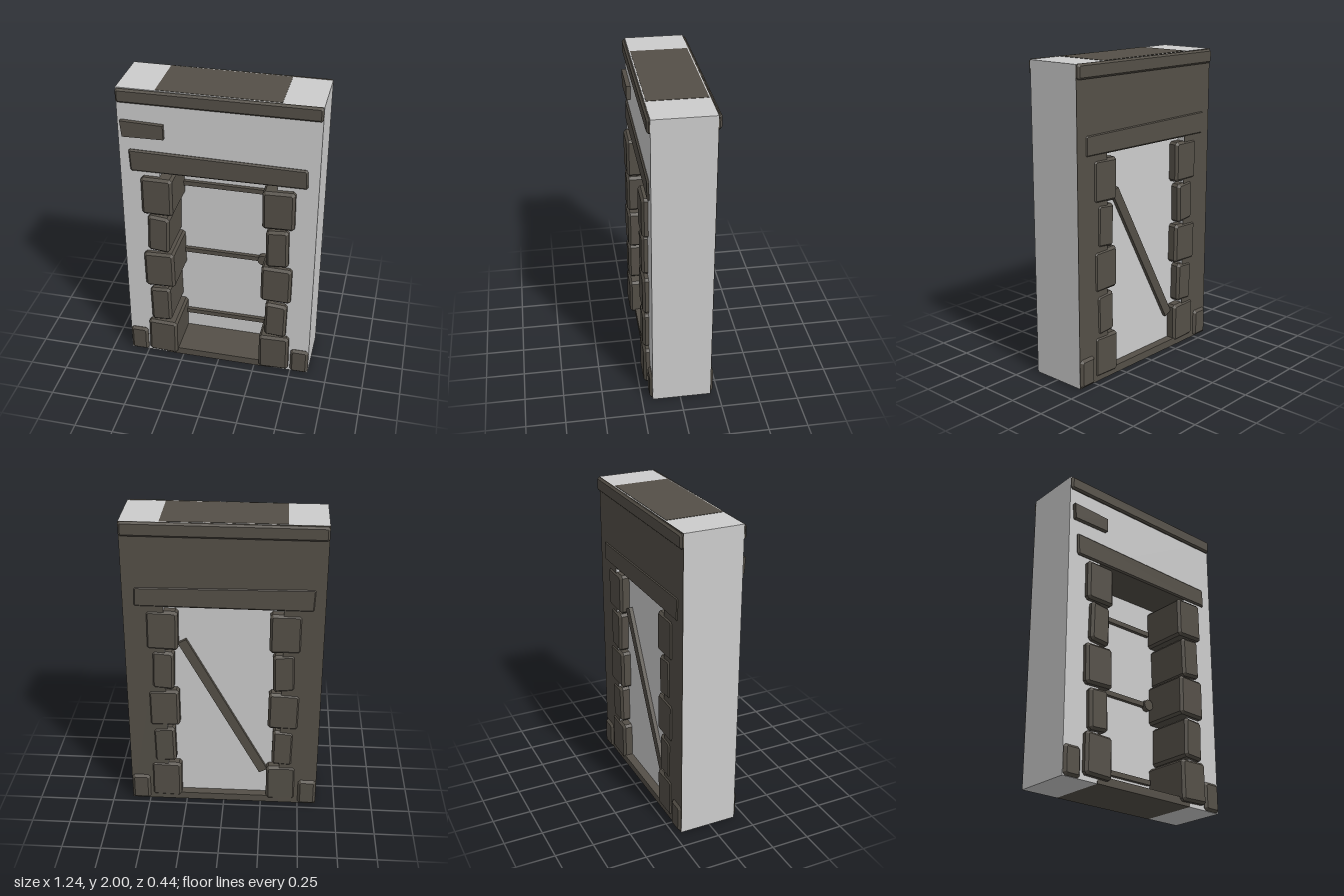
import * as THREE from 'three';

const plaster = new THREE.MeshStandardMaterial({ color: 0xcccccc });
plaster.name = 'pale plaster';
const stone = new THREE.MeshStandardMaterial({ color: 0x544f47 });
stone.name = 'dark stone';

export function createModel() {
  const group = new THREE.Group();
  group.name = 'doorwayWall';

  const add = (name, geometry, material) => {
    const mesh = new THREE.Mesh(geometry, material);
    mesh.name = name;
    group.add(mesh);
    return mesh;
  };

  const box = (name, x0, x1, y0, y1, z0, z1, material = stone) => {
    const mesh = add(name, new THREE.BoxGeometry(x1 - x0, y1 - y0, z1 - z0), material);
    mesh.position.set((x0 + x1) / 2, (y0 + y1) / 2, (z0 + z1) / 2);
    return mesh;
  };

  // Chamfered block from four front corners (counter-clockwise), cut along every edge
  const block = (name, corners, z0, z1, b = 0.016) => {
    const pts = [];
    corners.forEach((c, i) => {
      const p = new THREE.Vector2(...c);
      for (const j of [(i + 3) % 4, (i + 1) % 4]) {
        const dir = new THREE.Vector2(...corners[j]).sub(p).normalize();
        pts.push(p.clone().addScaledVector(dir, b));
      }
    });
    const geometry = new THREE.ExtrudeGeometry(new THREE.Shape(pts), {
      depth: z1 - z0 - 2 * b, bevelEnabled: true, bevelSegments: 1,
      bevelThickness: b, bevelSize: b, bevelOffset: -b,
    });
    geometry.translate(0, 0, z0 + b);
    return add(name, geometry, stone);
  };

  // Wall with a door opening down to the floor, and a dark rear face
  const wallShape = new THREE.Shape([
    [-0.622, 0], [-0.37, 0], [-0.37, 1.45], [0.37, 1.45], [0.37, 0],
    [0.622, 0], [0.622, 1.997], [-0.622, 1.997],
  ].map((p) => new THREE.Vector2(...p)));
  const wallSlab = (name, z0, z1, material) => {
    const geometry = new THREE.ExtrudeGeometry(wallShape, { depth: z1 - z0, bevelEnabled: false });
    geometry.translate(0, 0, z0);
    add(name, geometry, material);
  };
  wallSlab('wall', -0.197, 0.18, plaster);
  wallSlab('rearWallFace', -0.2, -0.197, stone);

  // Cornice on both faces, with the dark middle of the top
  const cornice = [[-0.622, 1.903], [0.622, 1.908], [0.622, 2], [-0.622, 1.993]];
  block('frontCornice', cornice, 0.17, 0.2, 0.012);
  block('rearCornice', cornice, -0.219, -0.189, 0.012);
  box('topCap', -0.38, 0.38, 1.99, 1.999, -0.19, 0.172);

  // Lintel and sill
  block('lintel', [[-0.555, 1.442], [0.555, 1.45], [0.55, 1.58], [-0.562, 1.592]], -0.206, 0.193, 0.01);
  box('sill', -0.37, 0.37, 0, 0.05, -0.2, 0.183);

  // Jamb stones: left x, right x, bottom y, top y, lean
  [
    [-0.487, -0.286, 1.15, 1.415, 0], [-0.458, -0.317, 0.873, 1.135, 0.007],
    [-0.487, -0.286, 0.59, 0.853, -0.004], [-0.455, -0.317, 0.308, 0.57, -0.005],
    [-0.483, -0.286, 0.028, 0.29, 0.003],
    [0.286, 0.488, 1.152, 1.42, -0.003], [0.318, 0.46, 0.868, 1.138, -0.006],
    [0.286, 0.484, 0.59, 0.855, 0.002], [0.316, 0.46, 0.308, 0.568, 0.005],
    [0.286, 0.487, 0.025, 0.293, -0.003],
  ].forEach(([l, r, b, t, k]) => block('jambStone',
    [[l, b + k], [r, b - k], [r + k, t - k], [l + k, t + k]], -0.208, 0.219));

  // Footing stones at the outer corners
  for (const [l, r] of [[-0.62, -0.5], [0.498, 0.62]]) {
    block('footingStone', [[l, 0.002], [r, 0.002], [r, 0.188], [l, 0.188]], -0.216, 0.198);
  }

  // Tapered stone chip on the upper wall
  const chip = new THREE.ExtrudeGeometry(new THREE.Shape([
    [-0.59, 1.685], [-0.33, 1.69], [-0.332, 1.782], [-0.6, 1.79],
  ].map((p) => new THREE.Vector2(...p))), { depth: 0.03, bevelEnabled: false });
  chip.translate(0, 0, 0.178);
  add('wallChip', chip, stone);

  // Door with front battens, round handle and rear diagonal brace
  box('door', -0.37, 0.37, 0.05, 1.45, -0.145, -0.09, plaster);
  for (const y of [0.19, 0.715, 1.24]) box('batten', -0.3, 0.27, y - 0.016, y + 0.016, -0.09, -0.065);
  const handle = add('handle', new THREE.CylinderGeometry(0.037, 0.037, 0.035, 16), stone);
  handle.rotation.x = Math.PI / 2;
  handle.position.set(0.252, 0.715, -0.07);

  const brace = add('brace', new THREE.BoxGeometry(0.06, 1.1, 0.025), stone);
  brace.position.set(0, 0.715, -0.157);
  brace.rotation.z = -Math.atan2(0.53, 0.97);

  return group;
}
